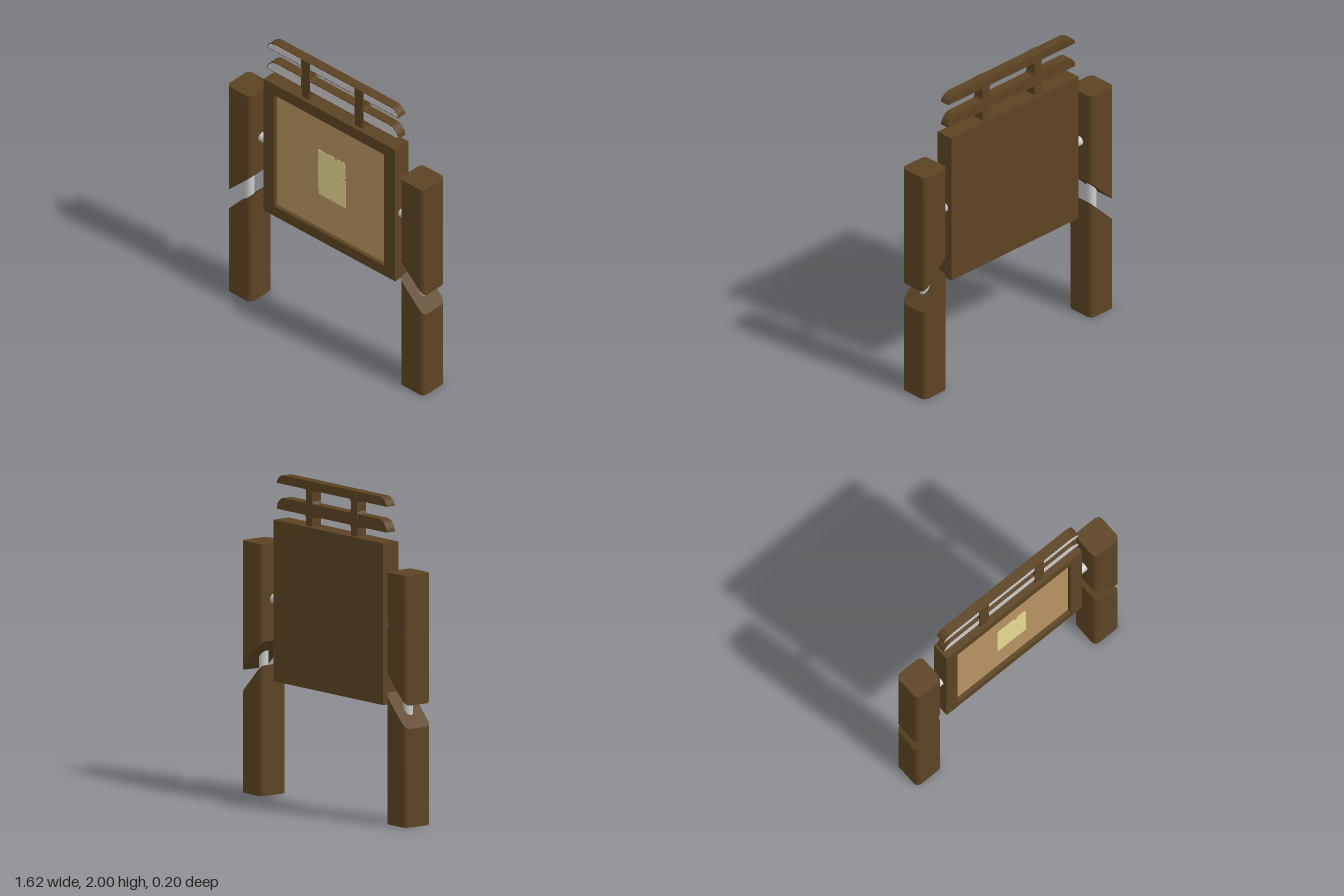
import * as THREE from 'three';
import { toCreasedNormals } from 'three/addons/utils/BufferGeometryUtils.js';

const mat = (color) => new THREE.MeshStandardMaterial({ color });
const wood = mat(0x5c4423), board = mat(0xb99463), paper = mat(0xe7da90), metal = mat(0xcccccc);

const polygon = (pts) => new THREE.Shape(pts.map(([x, y]) => new THREE.Vector2(x, y)));
const rect = (x0, y0, x1, y1) => polygon([[x0, y0], [x1, y0], [x1, y1], [x0, y1]]);

// Shape in the xy plane, extruded from z0 to z1
function slab(shape, z0, z1) {
  return new THREE.ExtrudeGeometry(shape, { depth: z1 - z0, bevelEnabled: false, curveSegments: 8 })
    .translate(0, 0, z0);
}

// Upright post with rounded corners; either end may slope across x
function postGeometry(y0, slope0, y1, slope1) {
  const h = 0.1, r = 0.035, s = new THREE.Shape();
  s.moveTo(h, r - h);
  s.absarc(h - r, h - r, r, 0, Math.PI / 2);
  s.absarc(r - h, h - r, r, Math.PI / 2, Math.PI);
  s.absarc(r - h, r - h, r, Math.PI, Math.PI * 1.5);
  s.absarc(h - r, r - h, r, Math.PI * 1.5, Math.PI * 2);
  const g = slab(s, 0, 1).rotateX(-Math.PI / 2);
  const p = g.attributes.position;
  for (let i = 0; i < p.count; i++) {
    const x = p.getX(i);
    p.setY(i, p.getY(i) < 0.5 ? y0 + slope0 * x : y1 + slope1 * x);
  }
  return toCreasedNormals(g, 0.6);
}

// Slat outline: flat bottom, rounded upper ends
function slatShape(y0, y1, inset) {
  const w = 0.54 - inset, a = y0 + inset, b = y1 - inset, s = new THREE.Shape();
  s.moveTo(-w, a);
  s.lineTo(w, a);
  s.bezierCurveTo(w, a + (b - a) * 0.5, w - 0.035, b, w - 0.07, b);
  s.lineTo(-w + 0.07, b);
  s.bezierCurveTo(-w + 0.035, b, -w, a + (b - a) * 0.5, -w, a);
  return s;
}

export function createModel() {
  const model = new THREE.Group();
  const add = (name, geometry, material, parent = model) => {
    const mesh = new THREE.Mesh(geometry, material);
    mesh.name = name;
    parent.add(mesh);
    return mesh;
  };

  // Posts cut diagonally in two, joined by metal rods
  for (const side of [1, -1]) {
    const group = new THREE.Group();
    group.name = side > 0 ? 'leftPost' : 'rightPost';
    group.position.x = side * 0.71;
    model.add(group);
    add('lowerPost', postGeometry(0, 0, 0.71, -side), wood, group);
    add('upperPost', postGeometry(0.855, -side, 1.56, 0), wood, group);
    add('postRod', new THREE.CylinderGeometry(0.03, 0.03, 0.4, 24), metal, group).position.y = 0.78;
    const rod = add('boardRod', new THREE.CylinderGeometry(0.03, 0.03, 0.16, 24).rotateZ(Math.PI / 2), metal, group);
    rod.position.set(-side * 0.13, 1.215, 0);
  }

  // Board: backing, raised frame and recessed panel
  add('backing', slab(rect(-0.54, 0.72, 0.54, 1.72), -0.06, 0.03), wood);
  const frame = rect(-0.54, 0.72, 0.54, 1.72);
  frame.holes.push(rect(-0.455, 0.795, 0.45, 1.64));
  add('frame', slab(frame, 0.03, 0.06), wood);
  add('panel', slab(rect(-0.455, 0.795, 0.45, 1.64), 0.03, 0.035), board);

  // Torn notice
  add('notice', slab(polygon([
    [-0.105, 1.05], [-0.02, 1.05], [-0.012, 1.062], [-0.005, 1.05], [0.11, 1.05],
    [0.11, 1.25], [0.085, 1.26], [0.11, 1.268], [0.112, 1.36], [0.1, 1.385],
    [0.042, 1.385], [0.028, 1.355], [0.018, 1.385], [-0.045, 1.385], [-0.055, 1.377],
    [-0.065, 1.385], [-0.115, 1.385], [-0.115, 1.33], [-0.106, 1.322], [-0.115, 1.312],
    [-0.115, 1.15], [-0.106, 1.14], [-0.114, 1.13], [-0.114, 1.085], [-0.1, 1.075], [-0.112, 1.065],
  ]), 0.035, 0.038), paper);

  // Slats with pale fronts
  for (const [y0, y1] of [[1.785, 1.86], [1.945, 2]]) {
    add('slat', slab(slatShape(y0, y1, 0), -0.034, 0.031), wood);
    add('slatFace', slab(slatShape(y0, y1, 0.005), 0.031, 0.033), metal);
  }

  // Uprights, thicker where they clasp the slats
  for (const x of [-0.22, 0.22]) {
    const a = 0.03, b = 0.038;
    const right = [[a, 1.7], [a, 1.77], [b, 1.785], [b, 1.86], [a, 1.875], [a, 1.93], [b, 1.945], [b, 2]];
    const left = right.map(([px, y]) => [-px, y]).reverse();
    add('upright', slab(polygon([...right, ...left]), -0.035, 0.035), wood).position.x = x;
  }
  return model;
}
